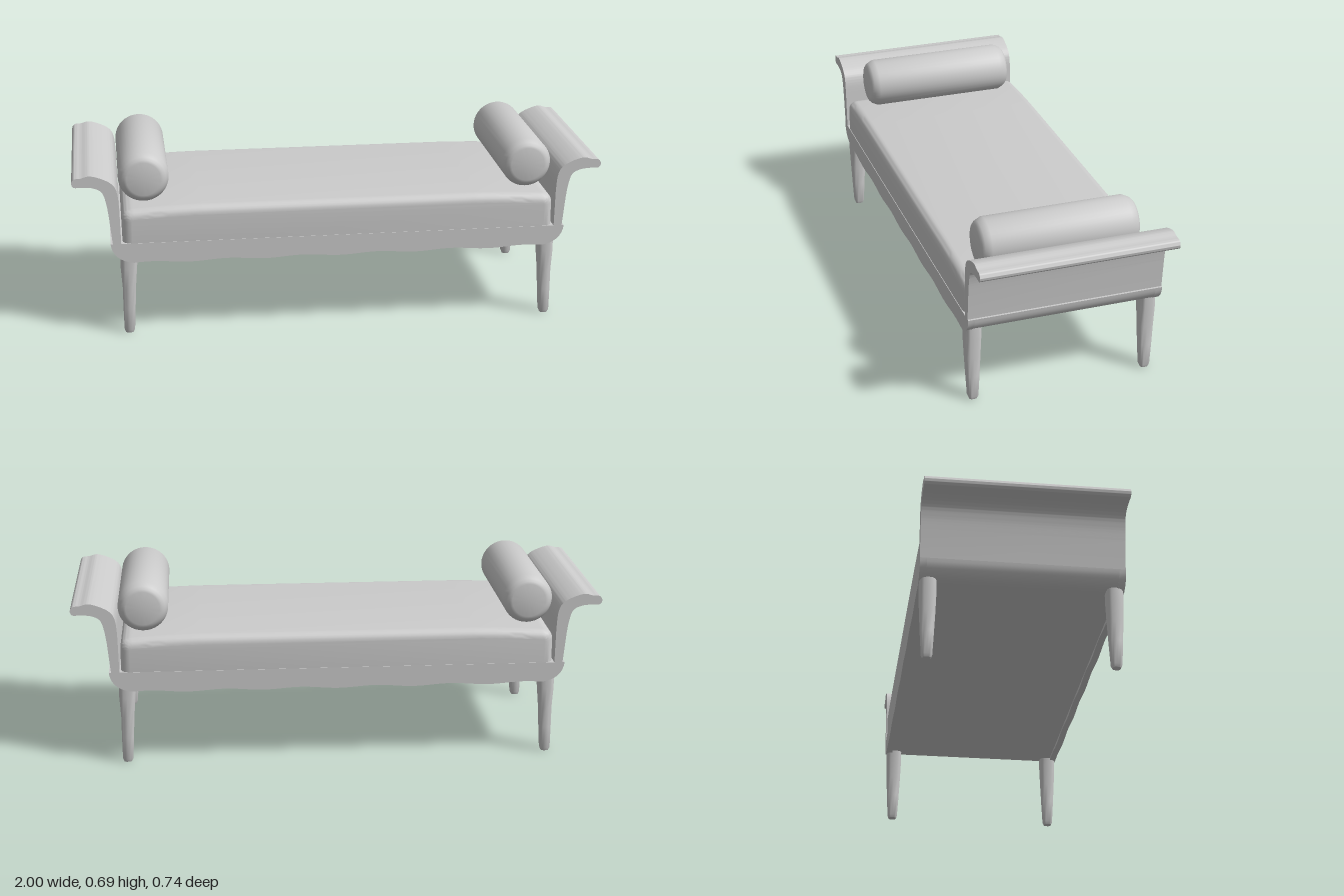
import * as THREE from 'three';
import { toCreasedNormals } from 'three/addons/utils/BufferGeometryUtils.js';

const material = new THREE.MeshStandardMaterial({ color: 0xcccccc });
const DEPTH = 0.37; // half depth of the bench
const vec = (points) => points.map(([x, y]) => new THREE.Vector2(x, y));

// Extrude an x-y outline from z0 to z1, rounding soft bends and keeping corners sharp
function extrude(shape, z0, z1, options = {}) {
  const geometry = new THREE.ExtrudeGeometry(shape, {
    depth: z1 - z0, bevelEnabled: false, curveSegments: 10, ...options,
  });
  geometry.translate(0, 0, z0);
  return toCreasedNormals(geometry, 0.7);
}

// Frame outline with rounded ends; bottom(x) gives the height of its lower edge
function frameShape(bottom) {
  const shape = new THREE.Shape();
  shape.moveTo(-0.865, 0.365);
  shape.bezierCurveTo(-0.86, 0.32, -0.83, 0.295, -0.78, bottom(-0.78));
  for (let i = 1; i <= 64; i++) {
    const x = -0.78 + (1.56 * i) / 64;
    shape.lineTo(x, bottom(x));
  }
  shape.bezierCurveTo(0.83, 0.295, 0.86, 0.32, 0.865, 0.365);
  shape.closePath();
  return shape;
}

// Scrolled arm: slim upright that curls outward into a rounded lip
function armShape(side) {
  const p = (points) => vec(points.map(([x, y]) => [side * x, y]));
  const shape = new THREE.Shape();
  shape.moveTo(side * 0.825, 0.35);
  shape.lineTo(side * 0.828, 0.5);
  shape.splineThru(p([[0.833, 0.56], [0.847, 0.595], [0.88, 0.618], [0.93, 0.634],
    [0.965, 0.627], [0.99, 0.624], [1, 0.608], [0.99, 0.592], [0.96, 0.592],
    [0.92, 0.587], [0.89, 0.57], [0.876, 0.53], [0.868, 0.48]]));
  shape.lineTo(side * 0.855, 0.35);
  shape.closePath();
  return shape;
}

// Cushion outline, slightly crowned in the middle
function cushionShape() {
  const shape = new THREE.Shape();
  shape.moveTo(-0.82, 0.31);
  shape.lineTo(-0.82, 0.45);
  shape.quadraticCurveTo(-0.82, 0.49, -0.775, 0.492);
  shape.quadraticCurveTo(-0.65, 0.5, -0.52, 0.502);
  shape.lineTo(0.52, 0.502);
  shape.quadraticCurveTo(0.65, 0.5, 0.775, 0.492);
  shape.quadraticCurveTo(0.82, 0.49, 0.82, 0.45);
  shape.lineTo(0.82, 0.31);
  shape.closePath();
  return shape;
}

// Tapered leg lofted through rounded-square sections: [y, centre x, half x, half z]
function legGeometry(side) {
  const rows = [[0, 0.805, 0, 0], [0, 0.805, 0.015, 0.015], [0.012, 0.805, 0.02, 0.02],
    [0.1, 0.803, 0.023, 0.025], [0.18, 0.801, 0.025, 0.029],
    [0.26, 0.8, 0.031, 0.032], [0.31, 0.798, 0.033, 0.032]];
  const sides = 20;
  const positions = [];
  const index = [];
  const round = (v) => Math.sign(v) * Math.abs(v) ** 0.65;
  rows.forEach(([y, cx, rx, rz], r) => {
    for (let i = 0; i < sides; i++) {
      const a = (i / sides) * Math.PI * 2;
      positions.push(side * cx + rx * round(Math.cos(a)), y, rz * round(Math.sin(a)));
      if (r === rows.length - 1) continue;
      const j = (i + 1) % sides;
      const p = r * sides;
      index.push(p + i, p + sides + i, p + j, p + j, p + sides + i, p + sides + j);
    }
  });
  const geometry = new THREE.BufferGeometry();
  geometry.setAttribute('position', new THREE.Float32BufferAttribute(positions, 3));
  geometry.setIndex(index);
  return toCreasedNormals(geometry, 0.9);
}

export function createModel() {
  const group = new THREE.Group();
  const add = (name, geometry, x = 0, y = 0, z = 0) => {
    const mesh = new THREE.Mesh(geometry, material);
    mesh.name = name;
    mesh.position.set(x, y, z);
    group.add(mesh);
    return mesh;
  };

  // Seat frame, with a wavy apron hanging along front and back
  add('seatFrame', extrude(frameShape(() => 0.298), -0.345, 0.345));
  const wave = (x) => 0.288 - 0.004 * Math.cos(x * 22);
  add('frontApron', extrude(frameShape(wave), 0.345, DEPTH));
  add('backApron', extrude(frameShape(wave), -DEPTH, -0.345));

  // Seat cushion with softly rolled edges
  const roll = 0.035;
  add('seatCushion', extrude(cushionShape(), -DEPTH + roll + 0.002, DEPTH - roll - 0.002, {
    bevelEnabled: true, bevelThickness: roll, bevelSize: roll, bevelOffset: -roll, bevelSegments: 6,
  }));

  // Bolster profile: rounded rims and flat ends
  const bolster = toCreasedNormals(new THREE.LatheGeometry(vec([[0, -0.3], [0.064, -0.3],
    [0.074, -0.297], [0.084, -0.288], [0.095, -0.265], [0.095, 0.265], [0.084, 0.288],
    [0.074, 0.297], [0.064, 0.3], [0, 0.3]]), 40), 0.7);

  for (const side of [-1, 1]) {
    const label = side > 0 ? 'left' : 'right';
    add(`${label}Arm`, extrude(armShape(side), -DEPTH, DEPTH));
    add(`${label}Bolster`, bolster, side * 0.733, 0.592, 0).rotation.x = Math.PI / 2;
    const leg = legGeometry(side);
    add(`${label}FrontLeg`, leg, 0, 0, 0.336);
    add(`${label}BackLeg`, leg, 0, 0, -0.336);
  }
  return group;
}
